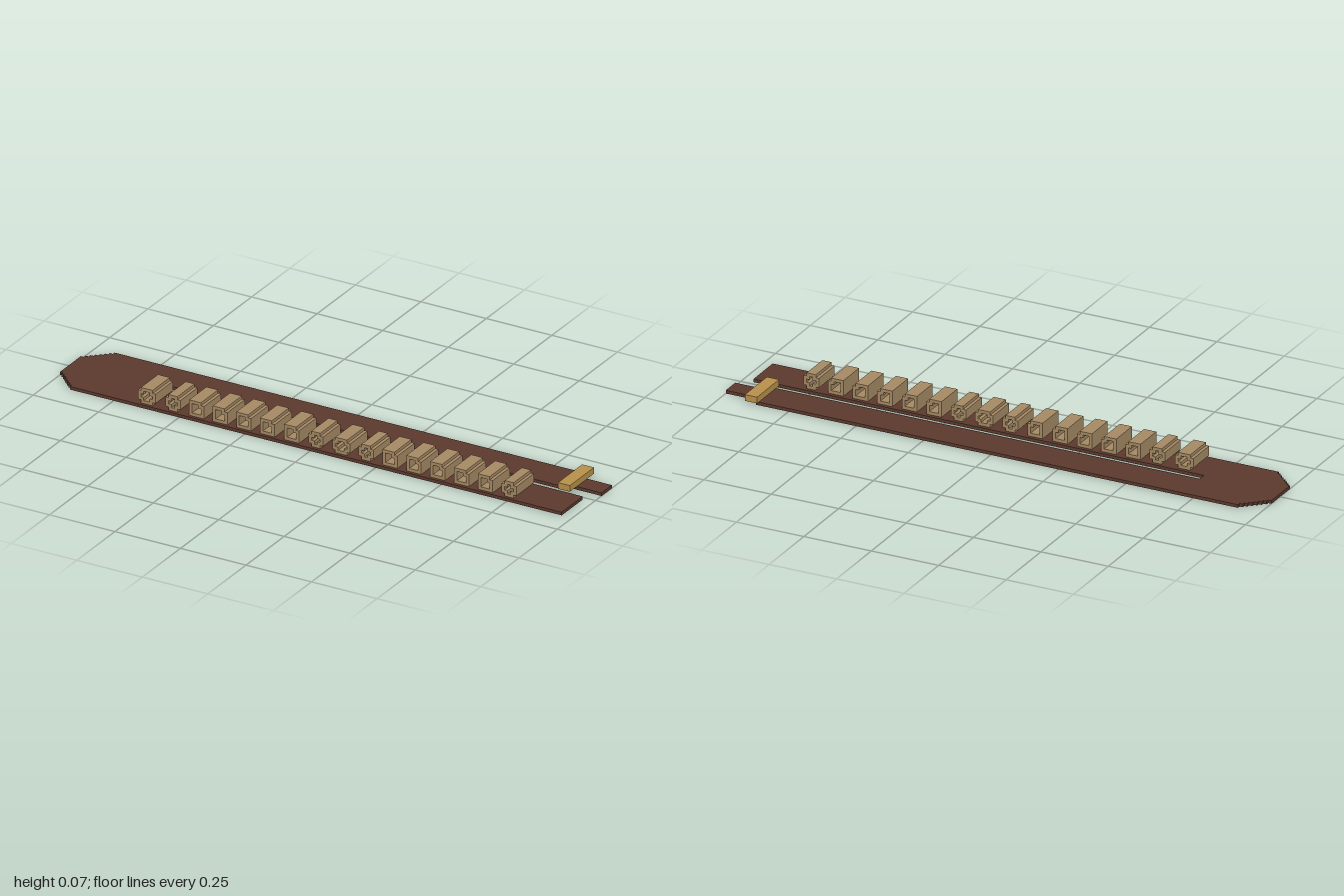
import * as THREE from 'three';

const V = 2 / 177; // size of one step of the blocky grid

const mat = (name, color) => {
  const m = new THREE.MeshStandardMaterial({ color });
  m.name = name;
  return m;
};

// Rectangle outline whose chosen corners (BL, BR, TR, TL) have a one-step notch
function notchedPoints(x0, y0, x1, y1, cut) {
  const corners = [[x0, y0, 1, 1], [x1, y0, -1, 1], [x1, y1, -1, -1], [x0, y1, 1, -1]];
  const pts = [];
  corners.forEach(([x, y, sx, sy], i) => {
    if (!cut[i]) { pts.push(new THREE.Vector2(x, y)); return; }
    const alongX = new THREE.Vector2(x + sx * V, y);
    const alongY = new THREE.Vector2(x, y + sy * V);
    const inner = new THREE.Vector2(x + sx * V, y + sy * V);
    pts.push(...(i % 2 === 0 ? [alongY, inner, alongX] : [alongX, inner, alongY]));
  });
  return pts;
}

// Hollow tube running front to back, standing on y = 0
function loopGeometry(cells, cut) {
  const w = cells * V / 2;
  const shape = new THREE.Shape(notchedPoints(-w, 0, w, 5 * V, cut));
  shape.holes.push(new THREE.Path(notchedPoints(-w + V, V, w - V, 4 * V, cut)));
  return new THREE.ExtrudeGeometry(shape, { depth: 10 * V, bevelEnabled: false });
}

// Flat belt: two straps joined at the left, with a stepped taper there
function beltGeometry() {
  const pts = [];
  const add = (x, z) => pts.push(new THREE.Vector2(x, -z));
  const back = -12.5 * V, front = 13.5 * V, steps = 7, sx = 0.083 / steps;
  // front strap
  add(0.96, front);
  add(0.96, 1.3 * V);
  // slot between the straps
  add(-0.71, 1.3 * V);
  add(-0.71, -1.5 * V);
  // back strap and its narrow tab
  add(0.87, -1.5 * V);
  add(0.87, -3.5 * V);
  add(1, -3.5 * V);
  add(1, -9.5 * V);
  add(0.87, -9.5 * V);
  add(0.87, back);
  // stepped corners of the left end
  for (let i = 0; i < steps; i++) {
    const x = -1 + (steps - i) * sx;
    add(x, back + i * V);
    add(x, back + (i + 1) * V);
  }
  add(-1, back + steps * V);
  for (let i = 0; i < steps; i++) {
    add(-1 + i * sx, front - (steps - i) * V);
    add(-1 + (i + 1) * sx, front - (steps - i) * V);
  }
  add(-1 + steps * sx, front);
  const g = new THREE.ExtrudeGeometry(new THREE.Shape(pts), { depth: V, bevelEnabled: false });
  return g.rotateX(-Math.PI / 2);
}

export function createModel() {
  const leather = mat('dark leather', 0x5c3a2e);
  const canvas = mat('tan canvas', 0xa68a64);
  const brass = mat('brass', 0xb8914a);
  const group = new THREE.Group();
  group.name = 'loopedBelt';

  const belt = new THREE.Mesh(beltGeometry(), leather);
  belt.name = 'belt';
  group.add(belt);

  // Row of loops: wide, round and square-shouldered versions
  const all = [1, 1, 1, 1];
  const shapes = {
    w: loopGeometry(6, all),
    r: loopGeometry(5, all),
    s: loopGeometry(5, [0, 0, 1, 0]),
  };
  const xs = [-0.63, -0.53, -0.44, -0.35, -0.26, -0.17, -0.077, 0.015,
    0.112, 0.207, 0.298, 0.389, 0.48, 0.571, 0.662, 0.753];
  const loops = new THREE.Group();
  loops.name = 'loops';
  [...'wrsssssrwrsssssr'].forEach((kind, i) => {
    const loop = new THREE.Mesh(shapes[kind], canvas);
    loop.name = 'loop' + (i + 1);
    loop.position.set(xs[i], V, 2.5 * V);
    loops.add(loop);
  });
  group.add(loops);

  // Bar buckle across the end of the back strap
  const buckle = new THREE.Mesh(new THREE.BoxGeometry(4 * V, 2 * V, 14 * V), brass);
  buckle.name = 'buckle';
  buckle.position.set(0.883, 2 * V, -6.5 * V);
  group.add(buckle);

  return group;
}
